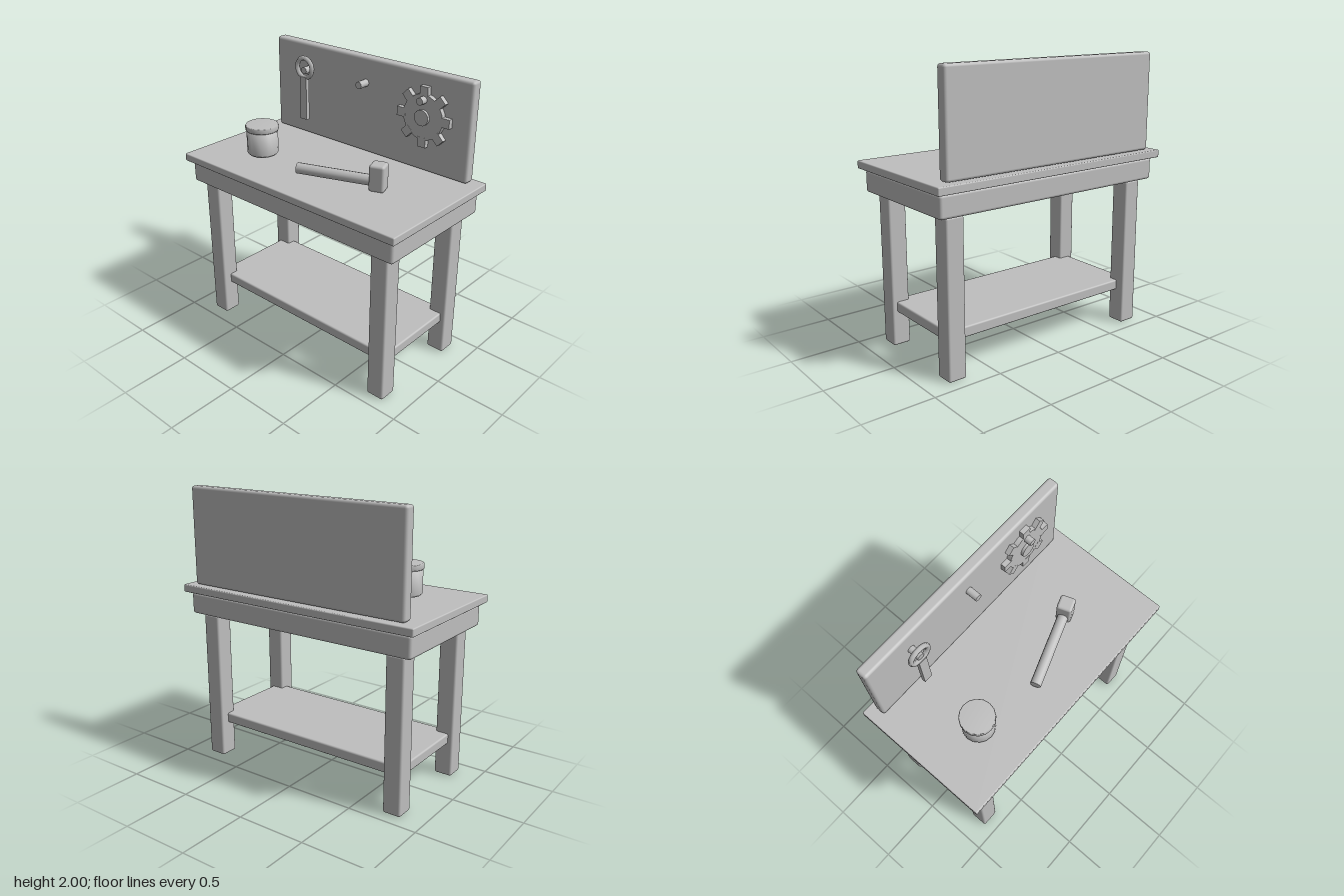
import * as THREE from 'three';
import { RoundedBoxGeometry } from 'three/addons/geometries/RoundedBoxGeometry.js';

export function createModel() {
  const bench = new THREE.Group();
  bench.name = 'workbench';
  const grey = new THREE.MeshStandardMaterial({ color: 0xbfbfbf });
  grey.name = 'plain grey';
  const flatGrey = grey;

  function add(name, geometry, x, y, z, parent = bench) {
    const mesh = new THREE.Mesh(geometry, flatGrey);
    mesh.name = name;
    mesh.position.set(x, y, z);
    parent.add(mesh);
    return mesh;
  }
  const rounded = (w, h, d, r) => new RoundedBoxGeometry(w, h, d, 2, r);
  // Cylinder whose axis runs along z
  const disc = (r, depth, sides) => new THREE.CylinderGeometry(r, r, depth, sides).rotateX(Math.PI / 2);

  // Table
  add('tableTop', rounded(1.88, 0.055, 1.0, 0.008), 0, 1.2775, 0);
  add('apron', rounded(1.81, 0.155, 0.92, 0.02), 0, 1.1675, 0);
  for (const sx of [-1, 1]) {
    for (const sz of [-1, 1]) {
      add('leg', rounded(0.132, 1.085, 0.132, 0.015), sx * 0.77, 0.5425, sz * 0.348);
    }
  }
  add('shelf', rounded(1.6, 0.075, 0.7, 0.012), 0, 0.283, 0);

  // Back board with three pegs
  add('backBoard', rounded(1.714, 0.69, 0.083, 0.02), 0, 1.655, -0.419);
  for (const x of [-0.513, 0, 0.51]) {
    add('peg', disc(0.026, 0.1, 12), x, 1.82, -0.345);
  }

  // Ring spanner hanging on the left peg
  const spanner = new THREE.Group();
  spanner.name = 'spanner';
  spanner.position.set(-0.513, 1.84, -0.305);
  bench.add(spanner);
  add('spannerRing', new THREE.TorusGeometry(0.072, 0.018, 6, 14), 0, 0, 0, spanner);
  add('spannerHandle', new THREE.BoxGeometry(0.063, 0.32, 0.03), 0, -0.225, 0.005, spanner);

  // Gear hanging on the right peg
  const gear = new THREE.Group();
  gear.name = 'gear';
  gear.position.set(0.508, 1.7, 0);
  bench.add(gear);
  add('gearDisc', disc(0.157, 0.037, 20), 0, 0, -0.3625, gear);
  add('gearHub', disc(0.055, 0.055, 16), 0, 0, -0.3525, gear);
  for (let i = 0; i < 8; i++) {
    const a = (i * Math.PI) / 4;
    const tooth = add('gearTooth', new THREE.BoxGeometry(0.07, 0.063, 0.035),
      Math.cos(a) * 0.174, Math.sin(a) * 0.174, -0.3605, gear);
    tooth.rotation.z = a;
  }

  // Tin with a lid
  const tin = new THREE.Group();
  tin.name = 'tin';
  tin.position.set(-0.513, 0, 0.137);
  bench.add(tin);
  const body = [[0, 1.318], [0.1, 1.318], [0.111, 1.33], [0.111, 1.5], [0, 1.5]];
  const lid = [[0, 1.494], [0.113, 1.494], [0.118, 1.5], [0.118, 1.528], [0.113, 1.535], [0, 1.535]];
  const lathe = (points) => new THREE.LatheGeometry(points.map(([r, y]) => new THREE.Vector2(r, y)), 16);
  add('tinBody', lathe(body), 0, 0, 0, tin);
  add('tinLid', lathe(lid), 0, 0, 0, tin);

  // Mallet lying on the table top
  const mallet = new THREE.Group();
  mallet.name = 'mallet';
  mallet.position.set(0.464, 0, 0.046);
  mallet.rotation.y = 0.345;
  bench.add(mallet);
  add('malletHead', rounded(0.106, 0.185, 0.106, 0.018), 0, 1.394, 0, mallet);
  add('malletHandle', new THREE.CylinderGeometry(0.0375, 0.0375, 0.56, 12).rotateZ(Math.PI / 2),
    -0.29, 1.362, 0, mallet);

  return bench;
}
